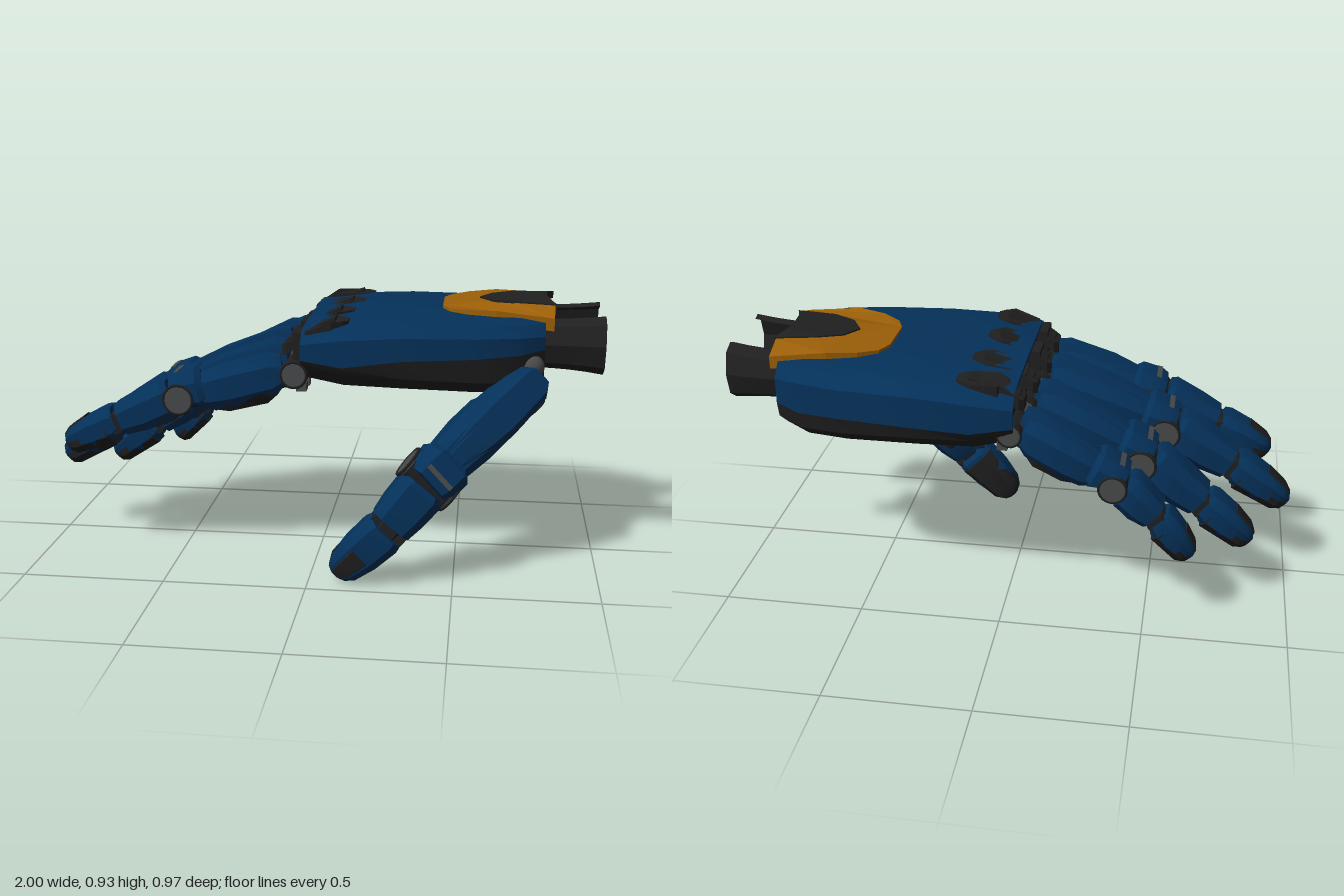
import * as THREE from 'three';
import { toCreasedNormals } from 'three/addons/utils/BufferGeometryUtils.js';

const mat = (name, color) => {
  const m = new THREE.MeshStandardMaterial({ color, side: THREE.DoubleSide });
  m.name = name;
  return m;
};
const V = (x, y, z) => new THREE.Vector3(x, y, z);

// Skin through rings of points, running along +x with points turning from y towards z
function loft(rings, closed = true) {
  const pos = [];
  const tri = (...p) => p.forEach((q) => pos.push(q.x, q.y, q.z));
  const n = rings[0].length;
  for (let i = 0; i < rings.length - 1; i++) {
    for (let j = 0; j < (closed ? n : n - 1); j++) {
      const k = (j + 1) % n;
      const [a, b, c, d] = [rings[i][j], rings[i][k], rings[i + 1][k], rings[i + 1][j]];
      tri(a, b, c);
      tri(a, c, d);
    }
  }
  if (closed) {
    const first = rings[0], last = rings[rings.length - 1];
    for (let j = 1; j < n - 1; j++) {
      tri(first[0], first[j + 1], first[j]);
      tri(last[0], last[j], last[j + 1]);
    }
  }
  const g = new THREE.BufferGeometry();
  g.setAttribute('position', new THREE.Float32BufferAttribute(pos, 3));
  g.computeVertexNormals();
  return toCreasedNormals(g, 0.55);
}

// Chamfered block from stations [along, halfWidth, top, bottom]
const OCT = [[1, 0.6], [0.5, 1], [-0.5, 1], [-1, 0.6], [-1, -0.6], [-0.5, -1], [0.5, -1], [1, -0.6]];
const block = (stations, s = 1) => loft(stations.map(([t, hw, top, bot]) =>
  OCT.map(([v, w]) => V(t, s * (v > 0 ? v * top : v * bot), s * w * hw))));

// Flat outline in x and z, thickened downwards and lifted to height(x, z)
function plate(pts, depth, height) {
  const g = new THREE.ExtrudeGeometry(new THREE.Shape(pts.map(([x, z]) => new THREE.Vector2(x, z))),
    { depth, bevelEnabled: false });
  g.rotateX(Math.PI / 2);
  const p = g.attributes.position;
  for (let i = 0; i < p.count; i++) p.setY(i, p.getY(i) + height(p.getX(i), p.getZ(i)));
  g.computeVertexNormals();
  return g;
}

export function createModel() {
  const blue = mat('blue shell', 0x05315a);
  const dark = mat('dark frame', 0x202021);
  const amber = mat('amber trim', 0x9c5f08);
  const grey = mat('grey joint', 0x484a4b);
  const root = new THREE.Group();
  root.name = 'mechanicalHand';

  const add = (parent, name, geo, material, p = [0, 0, 0]) => {
    const m = new THREE.Mesh(geo, material);
    m.name = name;
    m.position.set(...p);
    parent.add(m);
    return m;
  };
  const pin = (parent, name, r, width, material, p) => {
    const g = new THREE.CylinderGeometry(r, r, width, 20);
    g.rotateX(Math.PI / 2);
    return add(parent, name, g, material, p);
  };

  // Group whose x runs along the bone and whose y faces the back of the hand
  function bone(parent, name, from, to, back) {
    const u = to.clone().sub(from);
    const length = u.length();
    u.normalize();
    const v = back.clone().addScaledVector(u, -back.dot(u)).normalize();
    const g = new THREE.Group();
    g.name = name;
    g.quaternion.setFromRotationMatrix(new THREE.Matrix4().makeBasis(u, v, u.clone().cross(v)));
    g.position.copy(from);
    parent.add(g);
    return [g, length];
  }

  // Hinge: dark barrel, grey side caps with a raised ring
  function hinge(g, s, r, half) {
    pin(g, 'hingeBarrel', r * 1.08 * s, half * 1.9 * s, dark);
    pin(g, 'hingeCap', r * s, half * 2.14 * s, grey);
    for (const e of [-1, 1]) {
      add(g, 'hingeRing', new THREE.TorusGeometry(r * s, 0.005 * s, 6, 20), dark, [0, 0, e * half * 1.05 * s]);
    }
  }

  // start is where the blue shell begins on the lower segment
  function finger(name, pts, s, back, start) {
    const f = new THREE.Group();
    f.name = name;
    root.add(f);
    // Lower segment
    const [a, A] = bone(f, 'lowerSegment', pts[0], pts[1], back);
    hinge(a, s, 0.045, 0.072);
    add(a, 'lowerCore', block([[0, 0.055, 0.05, 0.045], [A, 0.05, 0.05, 0.05]], s), dark);
    add(a, 'lowerShell', block([[start, 0.062, 0.075, 0.03], [start + 0.045, 0.079, 0.092, 0.06],
      [A * 0.55, 0.08, 0.088, 0.074], [A - 0.1, 0.072, 0.074, 0.068], [A - 0.07, 0.064, 0.066, 0.05]], s), blue);
    add(a, 'lowerRidge', block([[0.015, 0.035, 0.1, 0], [0.06, 0.046, 0.115, 0],
      [A * 0.55, 0.05, 0.104, 0], [A - 0.09, 0.04, 0.085, 0]], s), blue);
    add(a, 'lowerPad', block([[0.08, 0.045, 0, 0.065], [0.12, 0.068, 0, 0.086],
      [A - 0.16, 0.066, 0, 0.087], [A - 0.1, 0.045, 0, 0.07]], s), dark);
    add(a, 'middleHood', block([[A - 0.095, 0.072, 0.08, 0.03], [A - 0.075, 0.086, 0.094, 0.05],
      [A - 0.005, 0.086, 0.092, 0.02], [A + 0.025, 0.078, 0.08, 0.01]], s), blue);
    add(a, 'hoodSlot', new THREE.BoxGeometry(0.018, 0.008, 0.1 * s), grey, [A - 0.01, 0.091 * s, 0]);
    // Middle segment
    const [b, B] = bone(f, 'middleSegment', pts[1], pts[2], back);
    hinge(b, s, 0.052, 0.082);
    add(b, 'middleCore', block([[0, 0.05, 0.05, 0.05], [B + 0.02, 0.045, 0.04, 0.04]], s), dark);
    add(b, 'middleShell', block([[0.03, 0.068, 0.074, 0.03], [0.05, 0.079, 0.084, 0.06],
      [B * 0.6, 0.076, 0.075, 0.066], [B - 0.02, 0.068, 0.064, 0.052]], s), blue);
    add(b, 'middlePad', block([[0.04, 0.036, 0, 0.06], [0.06, 0.042, 0, 0.073],
      [B * 0.5, 0.036, 0, 0.074], [B * 0.62, 0.024, 0, 0.062]], s), dark);
    // Fingertip with nail plate and grip pad
    const [c, C] = bone(f, 'fingertip', pts[2], pts[3], back);
    pin(c, 'tipHinge', 0.036 * s, 0.125 * s, dark);
    const tip = [[0, 0.064, 0.06, 0.035], [0.025, 0.07, 0.066, 0.052], [C * 0.48, 0.067, 0.059, 0.056],
      [C * 0.82, 0.054, 0.042, 0.046], [C * 0.95, 0.036, 0.024, 0.032], [C, 0.016, 0.01, 0.014]];
    add(c, 'tipShell', block(tip, s), blue);
    add(c, 'tipNail', block(tip.slice(2, 5).map(([t, w, top]) => [t, w * 0.72, top + 0.006, 0]), s), dark);
    add(c, 'tipPad', block(tip.slice(2, 6).map(([t, w, , bot], i) =>
      [i ? t : 0.04, w * 1.04, -0.005, bot + 0.008]), s), dark);
  }

  const up = V(0, 1, 0);
  // name, z, size, then x,y of the four joints
  const fingers = [
    ['indexFinger', 0.205, 1, [-0.07, 0.69], [-0.48, 0.59], [-0.72, 0.485], [-0.92, 0.4]],
    ['middleFinger', 0.01, 1.02, [-0.07, 0.71], [-0.53, 0.56], [-0.78, 0.42], [-0.99, 0.29]],
    ['ringFinger', -0.2, 1, [-0.05, 0.71], [-0.46, 0.535], [-0.68, 0.37], [-0.86, 0.235]],
    ['littleFinger', -0.385, 0.9, [-0.03, 0.7], [-0.38, 0.53], [-0.53, 0.4], [-0.655, 0.26]],
  ];
  // Half outline of a knuckle cover: distance from the hinge, half width
  const cover = [[-0.045, 0.036], [-0.03, 0.05], [0.035, 0.052], [0.04, 0.066], [0.13, 0.066], [0.165, 0.045], [0.185, 0.025]];
  for (const [name, z, s, ...j] of fingers) {
    const [x0, y0] = j[0];
    finger(name, j.map(([x, y]) => V(x, y, z)), s, up, 0.035);
    // Dark knuckle cover lying on the back of the palm, with a metal rod under it
    const outline = [...cover, ...cover.map(([x, w]) => [x, -w]).reverse()].map(([x, w]) => [x0 + x, z + w * s]);
    const slope = (x, w) => 0.885 - 0.5 * Math.max(0, 0.01 - x) - 0.2 * Math.max(0, 0.05 - x)
      - 0.12 * Math.max(0, x - 0.05) - 0.25 * Math.max(0, Math.abs(w - z) - 0.035);
    add(root, 'knuckleCover', plate(outline, 0.04, slope), dark);
    add(root, 'knuckleRidge', plate([[x0 - 0.03, z - 0.024], [x0 - 0.03, z + 0.024], [x0 + 0.14, z + 0.03],
      [x0 + 0.14, z - 0.03]], 0.03, (x, w) => slope(x, w) + 0.006), dark);
    add(root, 'knuckleCore', new THREE.BoxGeometry(0.13, 0.1, 0.1 * s), dark, [x0 + 0.06, 0.785, z]);
    const rod = new THREE.CylinderGeometry(0.034, 0.034, 0.2, 16);
    rod.rotateZ(Math.PI / 2);
    add(root, 'knuckleRod', rod, grey, [x0 + 0.1, 0.745, z]);
    for (const e of [-1, 1]) {
      add(root, 'knuckleTab', new THREE.BoxGeometry(0.035, 0.03, 0.045), grey, [x0 + 0.025, y0 - 0.045, z + e * 0.04 * s]);
    }
  }

  // Thumb hinges sideways, its back facing the front
  const front = V(0, 0, 1), thumbBase = V(0.7, 0.63, 0.17), thumbMid = V(0.41, 0.36, 0.365);
  finger('thumb', [thumbBase, thumbMid, V(0.27, 0.19, 0.41), V(0.09, 0.012, 0.405)], 1.1, front, 0.09);
  const [guard] = bone(root, 'thumbGuard', thumbBase, thumbMid, front);
  add(guard, 'thumbGuardShell', block([[-0.07, 0.05, 0.115, -0.07], [-0.04, 0.076, 0.13, -0.07],
    [0.08, 0.084, 0.13, -0.03], [0.14, 0.086, 0.128, 0], [0.22, 0.08, 0.115, 0], [0.34, 0.055, 0.085, 0]]), blue);
  add(root, 'thumbSocket', new THREE.SphereGeometry(0.085, 20, 14), dark, [0.7, 0.67, 0.16]);
  add(root, 'thumbSocketBall', new THREE.SphereGeometry(0.045, 16, 12), grey, [0.745, 0.72, 0.18]);

  // Palm stations: x, zMin, zMax, top, split at +z, split at -z, bottom
  const palm = [
    [-0.045, -0.465, 0.295, 0.85, 0.745, 0.73, 0.66],
    [0.1, -0.485, 0.305, 0.87, 0.725, 0.71, 0.635],
    [0.3, -0.475, 0.29, 0.88, 0.75, 0.715, 0.625],
    [0.55, -0.455, 0.27, 0.88, 0.76, 0.72, 0.615],
    [0.7, -0.42, 0.235, 0.88, 0.77, 0.715, 0.61],
    [0.79, -0.38, 0.17, 0.875, 0.78, 0.73, 0.63],
  ];
  const upper = (i) => palm.map(([x, a, b, t, sp, sn]) => [[sn, a + i], [t - 0.055, a + i], [t - 0.012, a + 0.04 + i],
    [t - i, a + 0.11], [t + 0.003 - i, (a + b) / 2], [t - i, b - 0.11], [t - 0.012, b - 0.035 - i],
    [t - 0.05, b - i], [sp, b - i]].map(([y, z]) => V(x, y, z)));
  const lower = (i) => palm.map(([x, a, b, , sp, sn, bot]) => [[sp, b - i], [bot + 0.06, b - 0.015 - i],
    [bot + 0.015 + i, b - 0.07], [bot + 0.015 + i, (a + b) / 2], [bot - 0.025 + i, a + 0.19],
    [bot - 0.012 + i, a + 0.09], [bot + 0.045, a + 0.015 + i], [sn, a + i]].map(([y, z]) => V(x, y, z)));
  for (const [name, ring, material] of [['palmBack', upper, blue], ['palmUnderside', lower, dark]]) {
    const out = ring(0), inner = ring(0.014);
    add(root, name, loft(out, false), material);
    add(root, name + 'Liner', loft(inner, false), dark);
    for (const e of [0, palm.length - 1]) add(root, name + 'Rim', loft([out[e], inner[e]], false), material);
  }

  // Wrist trim, bent down at the sides and the finger end
  const bend = (x, z) => 0.906 + 0.05 * (x - 0.55) - 0.06 * Math.max(0, 0.55 - x)
    - (0.06 + 2 * Math.max(0, x - 0.7)) * Math.max(0, Math.abs(z + 0.105) - 0.1);
  add(root, 'wristTrim', plate([[0.82, -0.335], [0.62, -0.325], [0.52, -0.295], [0.455, -0.25], [0.43, -0.19],
    [0.43, -0.02], [0.455, 0.04], [0.52, 0.09], [0.62, 0.12], [0.82, 0.125], [0.825, 0.03], [0.68, 0.0], [0.6, -0.04],
    [0.565, -0.105], [0.6, -0.17], [0.68, -0.21], [0.825, -0.24]], 0.045, bend), amber);
  add(root, 'wristInset', plate([[0.83, -0.24], [0.68, -0.215], [0.6, -0.175], [0.56, -0.105], [0.6, -0.035],
    [0.68, 0.005], [0.83, 0.03], [0.805, -0.03], [0.8, -0.105], [0.805, -0.18]], 0.025,
  (x, z) => bend(x, z) + 0.005), dark);
  add(root, 'wristTrimLip', new THREE.BoxGeometry(0.03, 0.045, 0.27), amber, [0.785, 0.87, -0.105]);

  // Curved wrist prongs, flaring slightly towards the arm
  const outer = [[0.14, 0.865], [0.19, 0.845], [0.21, 0.78], [0.19, 0.71], [0.14, 0.68]];
  const prong = [...outer, ...outer.map(([z, y]) => [z - 0.025, 0.775 + (y - 0.775) * 0.9]).reverse()];
  for (const e of [-1, 1]) {
    const g = new THREE.ExtrudeGeometry(new THREE.Shape(prong.map(([z, y]) => new THREE.Vector2(0.1 - e * z, y))),
      { depth: 0.24, steps: 4, bevelEnabled: false });
    g.rotateY(Math.PI / 2);
    const p = g.attributes.position;
    for (let i = 0; i < p.count; i++) {
      const t = p.getX(i) / 0.24;
      p.setY(i, 0.778 + (p.getY(i) - 0.775) * (0.95 + 0.18 * t * t));
      p.setZ(i, p.getZ(i) + 0.015 * t * t);
    }
    g.computeVertexNormals();
    add(root, 'wristProng', g, dark, [0.76, 0, 0]);
  }

  // Wrist frame around the opening
  const frame = [[0.08, 0.85], [0.11, 0.78], [0.08, 0.7], [0.03, 0.655], [-0.22, 0.655], [-0.28, 0.7],
    [-0.31, 0.78], [-0.28, 0.85]].map(([z, y]) => V(0.77, y, z));
  add(root, 'wristFrame', new THREE.TubeGeometry(new THREE.CatmullRomCurve3(frame, false, 'catmullrom', 0.2),
    40, 0.013, 8), dark);
  add(root, 'wristBar', new THREE.BoxGeometry(0.05, 0.035, 0.24), dark, [0.76, 0.65, -0.09]);
  add(root, 'wristCrossbar', new THREE.BoxGeometry(0.03, 0.015, 0.34), dark, [0.76, 0.7, -0.1]);
  return root;
}
